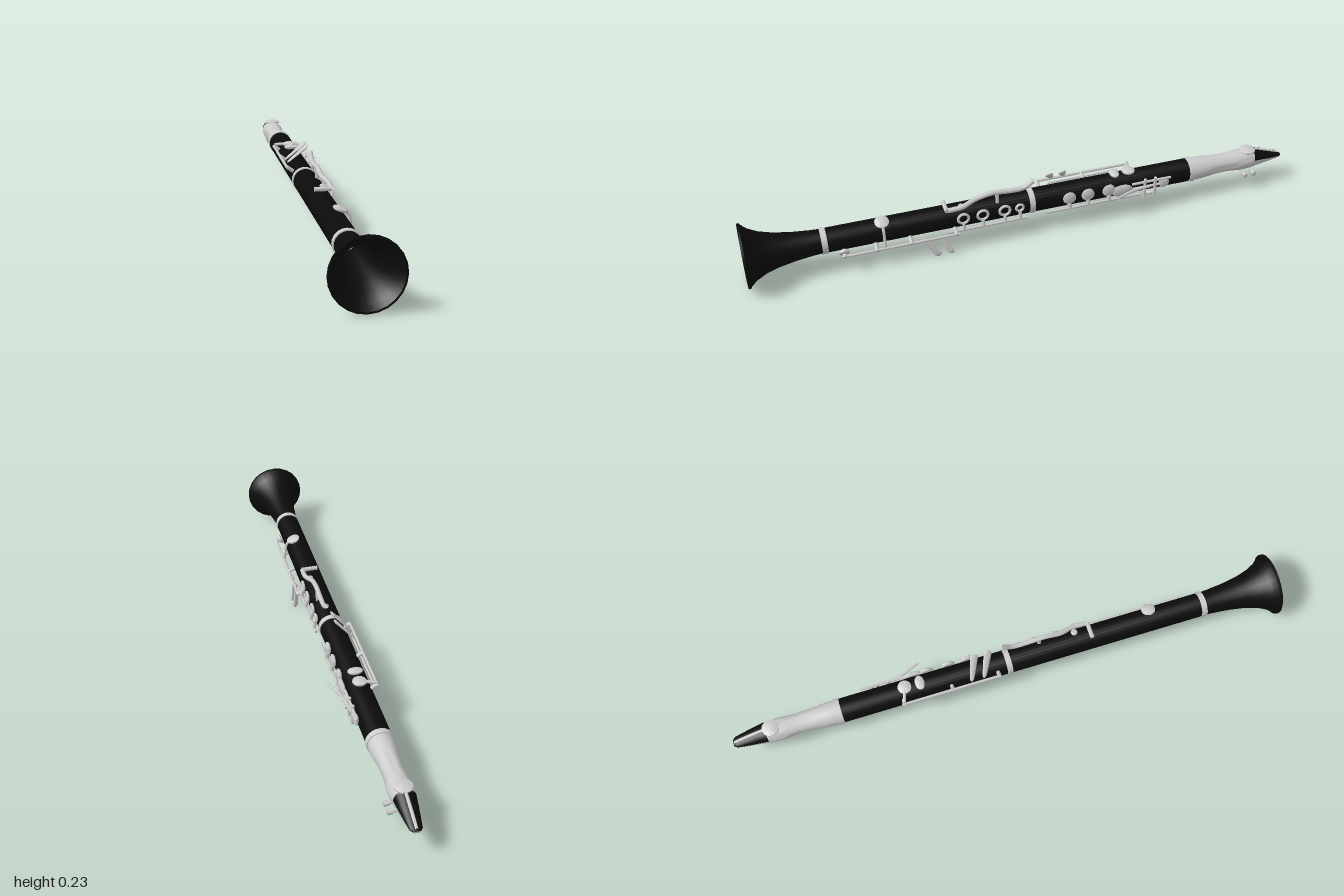
import * as THREE from 'three';
import { toCreasedNormals } from 'three/addons/utils/BufferGeometryUtils.js';

const CY = 0.116; // height of the bore axis
const metal = new THREE.MeshStandardMaterial({ color: 0xcccccc, side: THREE.DoubleSide });
const black = new THREE.MeshStandardMaterial({ color: 0x0b0b0b, side: THREE.DoubleSide });
const V = (p) => new THREE.Vector3(...p);
const UP = new THREE.Vector3(0, 1, 0);

export function createModel() {
  const model = new THREE.Group();

  const add = (name, geo, mat = metal) => {
    const m = new THREE.Mesh(geo, mat);
    m.name = name;
    model.add(m);
    return m;
  };

  // Turned part along z from [radius, z] pairs
  const turned = (name, pts, mat) => {
    const g = new THREE.LatheGeometry(pts.map((p) => new THREE.Vector2(p[0], p[1])), 24);
    g.rotateX(Math.PI / 2);
    return add(name, toCreasedNormals(g, 0.7), mat).position.set(0, CY, 0);
  };

  // Straight rod between two points
  const rod = (name, a, b, r = 0.005) => {
    const d = V(b).sub(V(a));
    const m = add(name, new THREE.CylinderGeometry(r, r, d.length(), 8));
    m.position.copy(V(a)).addScaledVector(d, 0.5);
    m.quaternion.setFromUnitVectors(UP, d.normalize());
    return m;
  };

  // Curved lever
  const lever = (name, pts, r = 0.006) =>
    add(name, new THREE.TubeGeometry(new THREE.CatmullRomCurve3(pts.map(V)), 28, r, 8));

  // Shallow domed pad facing a direction, optionally stretched along z
  const cup = (name, pos, dir, r, stretch = 1) => {
    const profile = [[0, -0.006], [r * 0.85, -0.006], [r, -0.002], [r, 0.003], [r * 0.7, 0.007], [0, 0.008]];
    const g = new THREE.LatheGeometry(profile.map((p) => new THREE.Vector2(...p)), 18);
    const m = add(name, toCreasedNormals(g, 0.6));
    m.position.set(...pos);
    m.quaternion.setFromUnitVectors(UP, V(dir).normalize());
    m.scale.z = stretch;
    return m;
  };

  // Flat touchpiece that widens from a to b
  const paddle = (name, a, b, w) => {
    const d = V(b).sub(V(a));
    const len = d.length();
    const g = new THREE.CapsuleGeometry(w, len - 2 * w, 5, 12);
    const p = g.attributes.position;
    for (let i = 0; i < p.count; i++) {
      const k = 0.72 + 0.28 * (p.getY(i) / (len / 2));
      p.setXYZ(i, p.getX(i) * k * 0.35, p.getY(i), p.getZ(i) * k);
    }
    g.computeVertexNormals();
    const m = add(name, g);
    m.position.copy(V(a)).addScaledVector(d, 0.5);
    m.quaternion.setFromUnitVectors(UP, d.normalize());
  };

  // Skin through arcs [z, centreY, halfWidth, height]
  const loft = (name, sections, from, to, mat) => {
    const n = 12, pos = [], idx = [];
    sections.forEach(([z, y, w, h], i) => {
      for (let j = 0; j <= n; j++) {
        const t = from + ((to - from) * j) / n;
        pos.push(w * Math.cos(t), y + h * Math.sin(t), z);
        if (i && j) {
          const c = i * (n + 1) + j, a = c - n - 1;
          idx.push(a - 1, c - 1, a, a, c - 1, c);
        }
      }
    });
    const g = new THREE.BufferGeometry();
    g.setAttribute('position', new THREE.Float32BufferAttribute(pos, 3));
    g.setIndex(idx);
    g.computeVertexNormals();
    add(name, g, mat);
  };

  // Body and hollow bell
  turned('body', [[0.028, -0.62], [0.043, -0.62], [0.043, 0.73], [0.028, 0.73]], black);
  turned('bell', [[0.042, 0.73], [0.044, 0.77], [0.05, 0.83], [0.06, 0.89], [0.073, 0.935], [0.09, 0.97],
    [0.106, 0.988], [0.112, 0.992], [0.112, 1], [0.106, 1], [0.088, 0.98], [0.068, 0.94], [0.053, 0.89],
    [0.042, 0.83], [0.034, 0.77], [0.028, 0.72], [0.028, -0.62]], black);
  for (const z of [-0.622, -0.005, 0.73])
    turned('jointRing', [[0.04, z - 0.01], [0.046, z - 0.01], [0.046, z + 0.01], [0.04, z + 0.01]], metal);
  const inner = add('boreRing', new THREE.RingGeometry(0.015, 0.028, 24, 1, 1.35, 5.2));
  inner.position.set(0, CY, 0.71);
  add('boreEnd', new THREE.CircleGeometry(0.028, 24), black).position.set(0, CY, 0.6);

  // Barrel and mouthpiece
  turned('barrel', [[0, -0.885], [0.036, -0.885], [0.039, -0.86], [0.04, -0.83], [0.037, -0.8], [0.035, -0.77],
    [0.037, -0.72], [0.041, -0.68], [0.043, -0.65], [0.043, -0.62], [0, -0.62]], metal);
  loft('mouthpieceShell', [[-0.88, 0.122, 0.037, 0.043], [-0.92, 0.118, 0.032, 0.032], [-0.96, 0.113, 0.026, 0.02],
    [-0.99, 0.11, 0.021, 0.01], [-1, 0.109, 0.012, 0.006], [-1, 0.109, 0.0005, 0.0005]], Math.PI, 2 * Math.PI, metal);
  loft('mouthpieceBeak', [[-0.88, 0.122, 0.036, 0.034], [-0.92, 0.118, 0.031, 0.025], [-0.96, 0.113, 0.025, 0.016],
    [-0.99, 0.11, 0.02, 0.008], [-1, 0.109, 0.012, 0.005], [-1, 0.109, 0.0005, 0.0005]], 0, Math.PI, black);
  lever('beakRidge', [[0, 0.153, -0.88], [0, 0.141, -0.92], [0, 0.127, -0.96], [0, 0.113, -0.994]], 0.006);
  cup('mouthpieceDisc', [0, 0.153, -0.86], [0, 1, 0], 0.03);
  for (const z of [-0.84, -0.875]) {
    rod('clampScrew', [-0.025, 0.073, z], [0.045, 0.073, z], 0.005);
    rod('clampScrewHead', [0.035, 0.073, z], [0.052, 0.073, z], 0.009);
  }

  // Lower joint: open ring keys on a side rod
  rod('ringKeyRod', [0.05, 0.083, 0.02], [0.05, 0.083, 0.31]);
  for (const [z, r] of [[0.25, 0.019], [0.18, 0.019], [0.1, 0.019], [0.045, 0.013]]) {
    const ring = add('ringKey', new THREE.TorusGeometry(r, 0.005, 8, 20));
    ring.position.set(0.045, 0.127, z);
    ring.rotation.y = Math.PI / 2;
    rod('ringKeyArm', [0.047, 0.127 - r, z], [0.051, 0.083, z], 0.006);
  }

  // Lower joint: long rod with posts, pads and little-finger paddles
  rod('longRod', [0.06, 0.077, 0.27], [0.06, 0.077, 0.68]);
  rod('secondRod', [0.053, 0.07, 0.3], [0.053, 0.07, 0.54], 0.004);
  for (const z of [0.28, 0.44, 0.56, 0.67]) rod('post', [0.03, 0.09, z], [0.064, 0.076, z], 0.007);
  cup('lowPad', [0.043, 0.083, 0.67], [1, -0.7, 0], 0.018);
  paddle('fingerPaddle', [0.05, 0.083, 0.4], [0.066, 0.003, 0.345], 0.017);
  paddle('fingerPaddle', [0.05, 0.083, 0.34], [0.066, 0.003, 0.3], 0.017);
  cup('sidePad', [0.02, 0.163, 0.53], [0.35, 1, 0], 0.025);
  lever('sidePadArm', [[0.024, 0.165, 0.53], [0.046, 0.145, 0.53], [0.052, 0.11, 0.53], [0.057, 0.078, 0.53]], 0.005);

  // Bridge lever over the middle joint
  lever('bridgeLever', [[0.035, 0.167, 0.3], [0.036, 0.172, 0.25], [0.021, 0.183, 0.2], [0.02, 0.195, 0.14],
    [0.02, 0.19, 0.07], [0.02, 0.193, 0.02], [0.02, 0.215, -0.012]], 0.009);
  rod('bridgeCrossBar', [-0.022, 0.166, 0.305], [0.036, 0.166, 0.305], 0.008);
  rod('bridgePost', [0.02, 0.15, 0.12], [0.02, 0.195, 0.12], 0.007);
  cup('bridgePad', [0.018, 0.16, 0.25], [0.3, 1, 0], 0.012);

  // Upper joint: closed cups on a side rod
  rod('cupRod', [0.05, 0.086, -0.05], [0.05, 0.086, -0.41]);
  for (const z of [-0.14, -0.21, -0.29]) {
    cup('closedCup', [0.046, 0.127, z], [1, 0, 0], 0.024);
    rod('cupArm', [0.047, 0.11, z], [0.05, 0.086, z], 0.008);
  }
  cup('ovalCup', [0.049, 0.117, -0.34], [1, 0, 0], 0.023, 1.75);

  // Upper joint: trill mechanism
  rod('trillRod', [0.048, 0.134, -0.38], [0.048, 0.134, -0.53]);
  rod('trillRod', [0.048, 0.113, -0.37], [0.048, 0.113, -0.5]);
  for (const z of [-0.43, -0.47]) rod('trillPost', [0.047, 0.145, z], [0.047, 0.07, z], 0.006);
  cup('trillCup', [0.046, 0.116, -0.505], [1, 0, 0], 0.02);
  cup('lowerTrillCup', [0.032, 0.073, -0.46], [0.5, -1, 0], 0.021);
  lever('angledLever', [[0.05, 0.113, -0.45], [0.062, 0.116, -0.38], [0.09, 0.118, -0.31]], 0.005);

  // Upper joint: top keys and left rod
  cup('topPad', [0, 0.164, -0.38], [0, 1, 0], 0.024);
  cup('topOvalPad', [0, 0.164, -0.325], [0, 1, 0], 0.026, 0.65);
  rod('topPadArm', [0, 0.166, -0.38], [-0.053, 0.16, -0.395], 0.006);
  rod('leftRod', [-0.056, 0.152, -0.05], [-0.056, 0.152, -0.405]);
  rod('leftLowerRod', [-0.05, 0.138, -0.09], [-0.05, 0.138, -0.36], 0.004);
  for (const z of [-0.05, -0.22, -0.395]) rod('leftPost', [-0.03, 0.135, z], [-0.058, 0.155, z], 0.007);
  paddle('upperPaddle', [-0.05, 0.158, -0.105], [0.02, 0.229, -0.068], 0.016);
  paddle('upperPaddle', [-0.05, 0.158, -0.15], [0.02, 0.229, -0.118], 0.016);

  return model;
}
